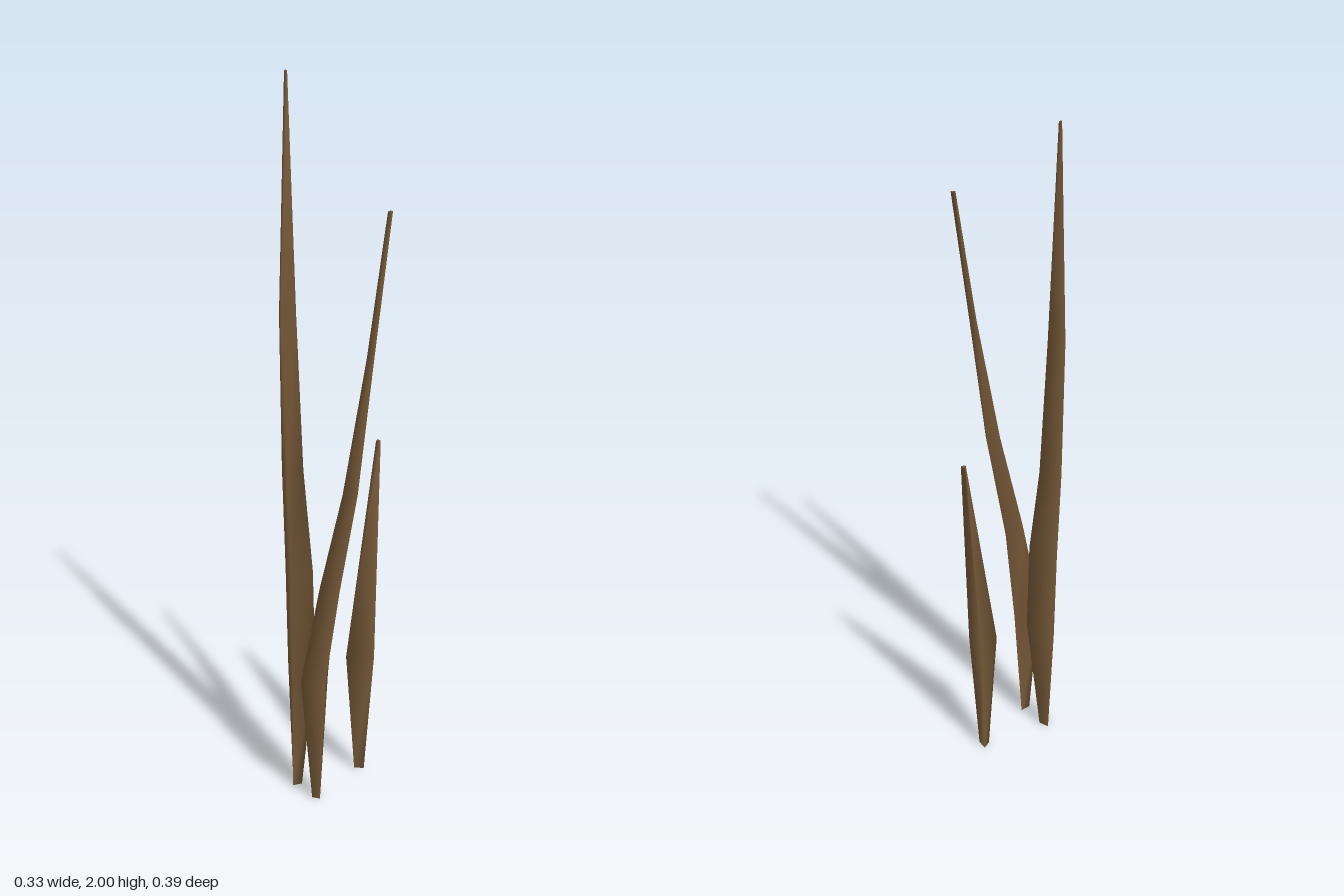
import * as THREE from 'three';

// Each ring: [height, x1, z1, x2, z2, x3, z3], counter-clockwise seen from above
const BLADES = {
  tallBackBlade: [
    [0, -0.135, -0.014, -0.108, -0.006, -0.115, -0.036],
    [0.36, -0.143, -0.003, -0.073, 0.012, -0.098, -0.076],
    [0.64, -0.12, -0.035, -0.06, -0.012, -0.09, -0.094],
    [0.92, -0.094, -0.078, -0.044, -0.07, -0.074, -0.126],
    [1.35, -0.064, -0.138, -0.025, -0.12, -0.056, -0.155],
    [2, -0.006, -0.187, 0.003, -0.185, 0.005, -0.196],
  ],
  mediumFrontBlade: [
    [0, -0.138, 0.074, -0.127, 0.094, -0.108, 0.074],
    [0.36, -0.165, 0.06, -0.137, 0.127, -0.07, 0.063],
    [0.64, -0.125, 0.092, -0.097, 0.143, -0.053, 0.082],
    [0.92, -0.082, 0.138, -0.055, 0.168, -0.022, 0.12],
    [1.3, -0.022, 0.165, -0.01, 0.181, 0.006, 0.156],
    [1.69, 0.028, 0.187, 0.038, 0.195, 0.039, 0.186],
  ],
  shortSideBlade: [
    [0, 0.066, 0.02, 0.085, 0.04, 0.092, 0.008],
    [0.36, 0.037, 0.017, 0.095, 0.07, 0.122, -0.017],
    [0.98, 0.149, 0.012, 0.161, 0.018, 0.162, 0.003],
  ],
};

// Skins a stack of triangular rings and closes both ends
function bladeGeometry(rings) {
  const pos = [], index = [];
  const addRing = ([y, ...c]) => {
    for (let k = 0; k < 6; k += 2) pos.push(c[k], y, c[k + 1]);
  };
  rings.forEach(addRing);
  for (let r = 0; r < rings.length - 1; r++) {
    for (let k = 0; k < 3; k++) {
      const a = r * 3 + k, b = r * 3 + (k + 1) % 3;
      index.push(a, b, b + 3, a, b + 3, a + 3);
    }
  }
  // end caps use their own vertices so their rims stay sharp
  const n = rings.length * 3;
  addRing(rings[0]);
  addRing(rings[rings.length - 1]);
  index.push(n, n + 2, n + 1, n + 3, n + 4, n + 5);

  const geo = new THREE.BufferGeometry();
  geo.setAttribute('position', new THREE.Float32BufferAttribute(pos, 3));
  geo.setIndex(index);
  geo.computeVertexNormals();
  return geo;
}

export function createModel() {
  const group = new THREE.Group();
  group.name = 'grassBlades';
  const material = new THREE.MeshStandardMaterial({ color: 0x7a5c3a });
  for (const [name, rings] of Object.entries(BLADES)) {
    const blade = new THREE.Mesh(bladeGeometry(rings), material);
    blade.name = name;
    group.add(blade);
  }
  return group;
}
